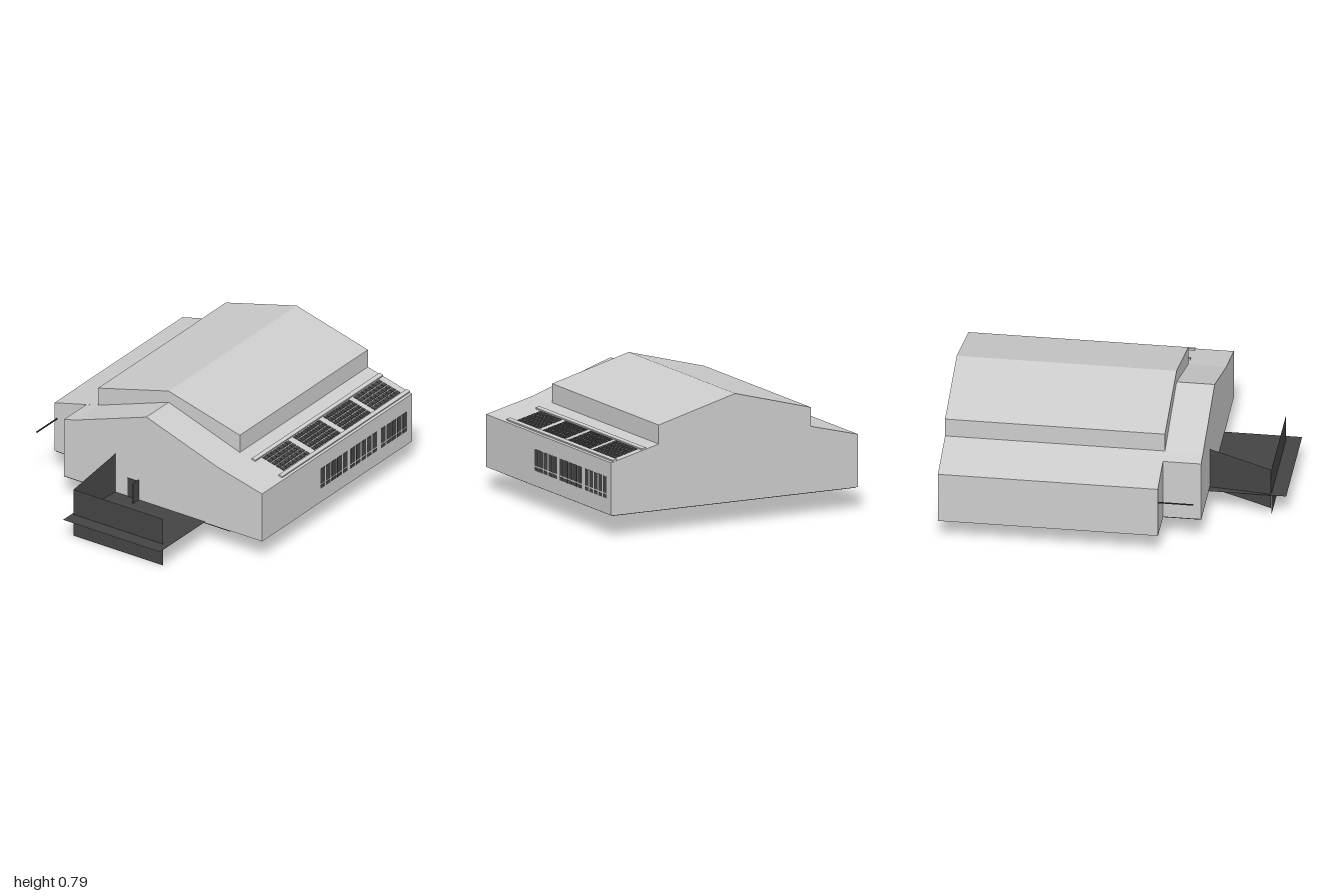
import * as THREE from 'three';

const mat = (name, color) => {
  const m = new THREE.MeshStandardMaterial({ color, side: THREE.DoubleSide });
  m.name = name;
  return m;
};

export function createModel() {
  const root = new THREE.Group();
  const wall = mat('pale grey cladding', 0xcccccc);
  const dark = mat('dark grey', 0x444444);
  const under = mat('charcoal floor', 0x3c3c3c);
  const white = mat('white', 0xf0f0f0);

  const add = (name, geo, material, x = 0, y = 0, z = 0, parent = root) => {
    const m = new THREE.Mesh(geo, material);
    m.name = name;
    m.position.set(x, y, z);
    parent.add(m);
    return m;
  };
  // box given by its minimum and maximum corners
  const span = (name, a, b, material, parent = root) =>
    add(name, new THREE.BoxGeometry(b[0] - a[0], b[1] - a[1], b[2] - a[2]), material,
      (a[0] + b[0]) / 2, (a[1] + b[1]) / 2, (a[2] + b[2]) / 2, parent);
  // flat quad from four corners in order
  const quad = (name, a, b, c, d, material) => {
    const g = new THREE.BufferGeometry();
    g.setAttribute('position', new THREE.Float32BufferAttribute([a, b, c, a, c, d].flat(), 3));
    g.computeVertexNormals();
    return add(name, g, material);
  };
  // open shell swept along z from a left-to-right outline
  const shell = (name, pts, z0, z1) => {
    for (let i = 0; i < pts.length - 1; i++) {
      const [p, q] = [pts[i], pts[i + 1]];
      quad(name, [...p, z0], [...p, z1], [...q, z1], [...q, z0], wall);
    }
  };
  const gable = (name, pts, z, flip) => {
    const g = new THREE.ShapeGeometry(new THREE.Shape(pts.map(p => new THREE.Vector2(...p))));
    const m = add(name, g, wall, 0, 0, z);
    if (flip) { // mirror the outline so it faces backwards
      g.scale(-1, 1, 1);
      g.rotateY(Math.PI);
      g.computeVertexNormals();
      const idx = g.index.array;
      for (let i = 0; i < idx.length; i += 3) [idx[i], idx[i + 1]] = [idx[i + 1], idx[i]];
      g.computeVertexNormals();
    }
    return m;
  };

  const Y0 = 0.137, zBack = -1, zMid = 0.31, zFront = 0.537;

  // main hall with raised centre roof
  const hall = [[-0.83, Y0], [-0.83, 0.455], [-0.515, 0.535], [-0.515, 0.65], [-0.005, 0.787],
    [0.51, 0.65], [0.51, 0.535], [0.83, 0.455], [0.83, Y0]];
  shell('hallShell', hall, zBack, zMid);
  gable('hallFrontWall', hall, zMid);
  gable('hallBackWall', hall, zBack, true);

  // lower front bay, cut back on one side
  const bay = [[-0.6, Y0], [-0.6, 0.513], [-0.515, 0.535], [-0.005, 0.712],
    [0.51, 0.535], [0.83, 0.455], [0.83, Y0]];
  shell('frontBayShell', bay, zMid, zFront);
  gable('frontBayWall', bay, zFront);

  // floor, open under one front corner
  span('hallFloor', [-0.82, 0.132, -0.995], [0.82, 0.138, zMid], under);
  span('bayFloor', [-0.6, 0.132, zMid], [0.6, 0.138, zFront], under);
  span('innerWall', [0.598, 0.138, zMid], [0.602, 0.4, zFront - 0.005], dark);
  span('floorHatch', [-0.66, 0.13, -0.65], [-0.6, 0.132, -0.35], dark);

  // side windows: three banks of five, each with a tall and a low pane
  [[-0.06, -0.335], [-0.37, -0.635], [-0.68, -0.945]].forEach(([a, b]) => {
    const pitch = (a - b + 0.012) / 5;
    for (let i = 0; i < 5; i++) {
      const z1 = a - i * pitch, z0 = z1 - pitch + 0.012;
      span('windowPane', [0.828, 0.26, z0], [0.832, 0.36, z1], dark);
      span('windowLowPane', [0.828, 0.23, z0], [0.832, 0.251, z1], dark);
    }
  });

  // skylight strip lying on the right-hand roof slope
  const sky = new THREE.Group();
  sky.name = 'skylightStrip';
  sky.position.set(0.7, 0.4875, 0);
  sky.rotation.z = -Math.atan(0.25);
  root.add(sky);
  for (const x of [-0.096, 0.105])
    span('skylightRail', [x - 0.013, 0, -0.998], [x + 0.013, 0.01, 0.31], wall, sky);
  [-0.815, -0.51, -0.2, 0.115].forEach((zc, bank) => {
    const rows = bank === 1 || bank === 2 ? 11 : 7, len = 0.27, pitch = len / rows;
    for (let c = 0; c < 5; c++)
      for (let r = 0; r < rows; r++) {
        const x = -0.076 + c * 0.033, z = zc - len / 2 + r * pitch;
        span('skylightPane', [x, 0, z], [x + 0.026, 0.004, z + pitch - 0.006], dark, sky);
      }
  });

  // entrance: level deck, front screen and sloping side screen
  quad('entranceDeck', [-0.28, 0.142, zFront], [-0.28, 0.142, 1], [0.42, 0.142, 1], [0.42, 0.142, zFront], dark);
  quad('frontScreen', [-0.267, 0, 0.91], [0.378, 0, 0.91], [0.378, 0.31, 0.91], [-0.267, 0.31, 0.91], dark);
  quad('sideScreen', [-0.267, 0.048, 0.908], [-0.228, Y0, 0.54], [-0.228, 0.4, 0.54], [-0.267, 0.31, 0.908], dark);

  // doorway with its leaf standing open
  span('doorway', [-0.14, 0.142, zFront], [-0.06, 0.265, zFront + 0.003], dark);
  span('doorLeaf', [-0.064, 0.142, zFront], [-0.06, 0.275, 0.598], dark);

  // small seats and a table on the deck
  const seat = (x, z, turn) => {
    const g = new THREE.Group();
    g.name = 'deckSeat';
    g.position.set(x, 0.142, z);
    g.rotation.y = turn;
    root.add(g);
    span('seatPad', [-0.02, 0.022, -0.02], [0.02, 0.028, 0.02], dark, g);
    span('seatBack', [-0.02, 0.028, -0.022], [0.02, 0.065, -0.018], dark, g);
    for (const sx of [-1, 1]) for (const sz of [-1, 1])
      add('seatLeg', new THREE.BoxGeometry(0.004, 0.022, 0.004), dark, sx * 0.017, 0.011, sz * 0.017, g);
  };
  seat(-0.08, 0.85, 0.7);
  seat(-0.14, 0.83, -0.3);
  add('tablePost', new THREE.CylinderGeometry(0.004, 0.004, 0.09, 8), dark, -0.13, 0.187, 0.868);
  add('tableTop', new THREE.CylinderGeometry(0.026, 0.026, 0.004, 12), dark, -0.13, 0.175, 0.868);
  add('whiteMat', new THREE.BoxGeometry(0.05, 0.006, 0.035), white, -0.19, 0.16, 0.875).rotation.y = 0.4;

  // thin bar reaching forward from the set-back corner
  span('sideBar', [-0.816, 0.352, zMid], [-0.806, 0.356, 0.52], under);

  return root;
}
